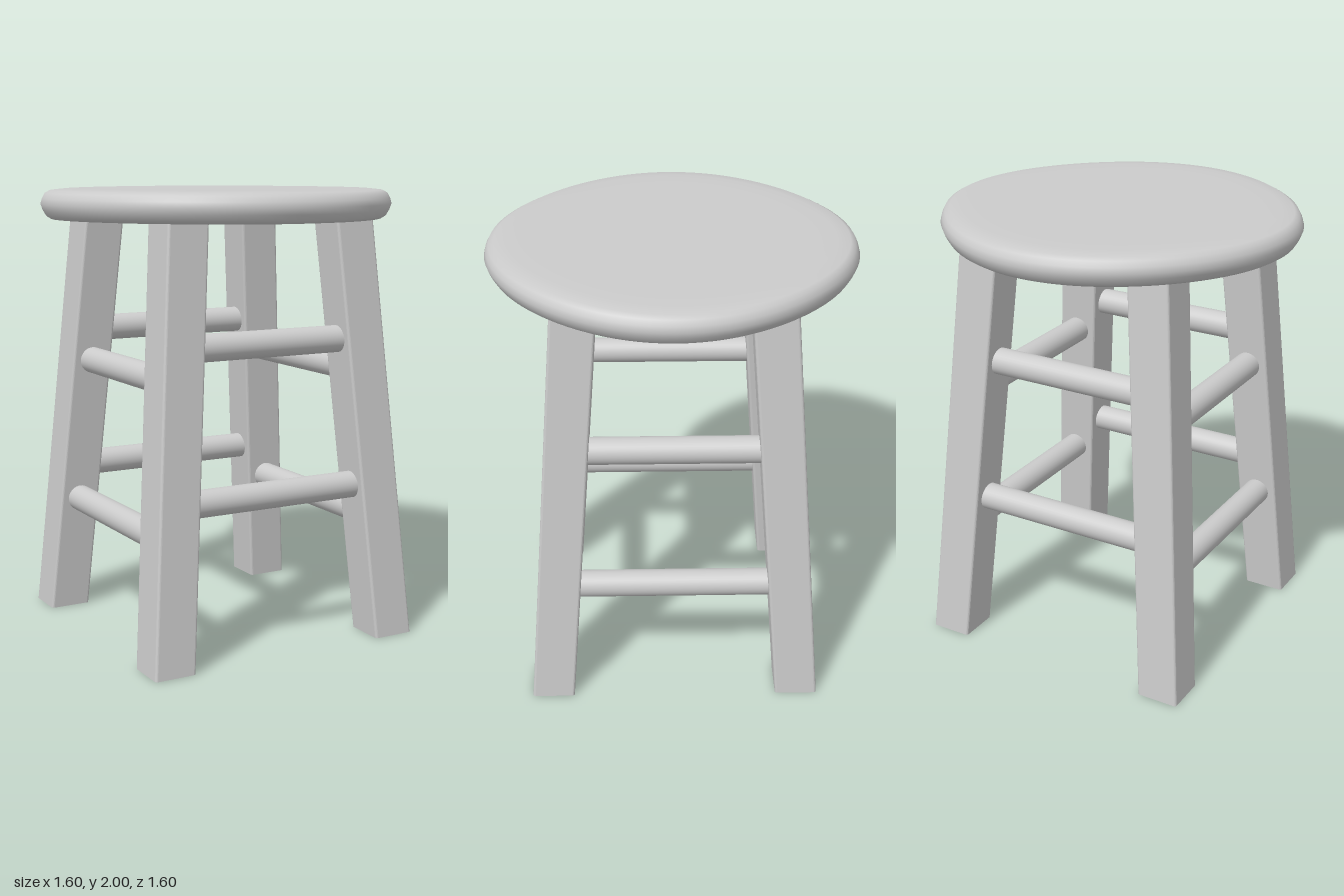
import * as THREE from 'three';

const material = new THREE.MeshStandardMaterial({ color: 0xcccccc });
const LEG_FOOT = 0.555;   // leg centre offset at the floor
const LEG_SLOPE = 0.078;  // inward lean per unit of height
const LEG_HEIGHT = 1.89;
const legOffset = (y) => LEG_FOOT - LEG_SLOPE * y;

function addMesh(group, name, geometry) {
  const mesh = new THREE.Mesh(geometry, material);
  mesh.name = name;
  group.add(mesh);
  return mesh;
}

// Round seat with a soft edge, very slightly squeezed on the diagonals
function seatGeometry() {
  const profile = [
    [0, 1.865], [0.7, 1.865], [0.755, 1.868], [0.775, 1.88], [0.79, 1.905], [0.8, 1.932],
    [0.793, 1.957], [0.78, 1.98], [0.758, 1.992], [0.7, 1.998], [0.6, 2], [0, 2],
  ].map(([r, y]) => new THREE.Vector2(r, y));
  const geometry = new THREE.LatheGeometry(profile, 96);
  const pos = geometry.attributes.position;
  for (let i = 0; i < pos.count; i++) {
    const x = pos.getX(i), z = pos.getZ(i);
    const s = 1 - 0.028 * Math.sin(2 * Math.atan2(z, x)) ** 2;
    pos.setX(i, x * s);
    pos.setZ(i, z * s);
  }
  return geometry;
}

// Square post with eased edges, sheared so its ends stay level
function legGeometry(sx, sz) {
  const h = 0.095, r = 0.012;
  const shape = new THREE.Shape();
  shape.absarc(h - r, h - r, r, 0, Math.PI / 2);
  shape.absarc(r - h, h - r, r, Math.PI / 2, Math.PI);
  shape.absarc(r - h, r - h, r, Math.PI, Math.PI * 1.5);
  shape.absarc(h - r, r - h, r, Math.PI * 1.5, Math.PI * 2);
  const geometry = new THREE.ExtrudeGeometry(shape, { depth: LEG_HEIGHT, bevelEnabled: false, curveSegments: 3 });
  geometry.rotateX(-Math.PI / 2);
  const pos = geometry.attributes.position;
  for (let i = 0; i < pos.count; i++) {
    const offset = legOffset(pos.getY(i));
    pos.setX(i, pos.getX(i) + sx * offset);
    pos.setZ(i, pos.getZ(i) + sz * offset);
  }
  geometry.computeVertexNormals();
  return geometry;
}

export function createModel() {
  const group = new THREE.Group();
  group.name = 'stool';

  addMesh(group, 'seat', seatGeometry());

  // Four splayed legs
  for (const [sx, side] of [[1, 'Left'], [-1, 'Right']]) {
    for (const [sz, end] of [[1, 'front'], [-1, 'back']]) {
      addMesh(group, `${end}${side}Leg`, legGeometry(sx, sz));
    }
  }

  // Two rungs on each of the four sides, staggered in height
  const rung = (name, y) => {
    const geometry = new THREE.CylinderGeometry(0.06, 0.06, 2 * legOffset(y), 32);
    return addMesh(group, name, geometry);
  };
  for (const s of [1, -1]) {
    for (const [y, level] of [[0.69, 'Lower'], [1.345, 'Upper']]) {
      const mesh = rung(`${s > 0 ? 'front' : 'back'}${level}Rung`, y);
      mesh.rotation.z = Math.PI / 2;
      mesh.position.set(0, y, s * legOffset(y));
    }
    for (const [y, level] of [[0.54, 'Lower'], [1.205, 'Upper']]) {
      const mesh = rung(`${s > 0 ? 'left' : 'right'}${level}Rung`, y);
      mesh.rotation.x = Math.PI / 2;
      mesh.position.set(s * legOffset(y), y, 0);
    }
  }
  return group;
}
